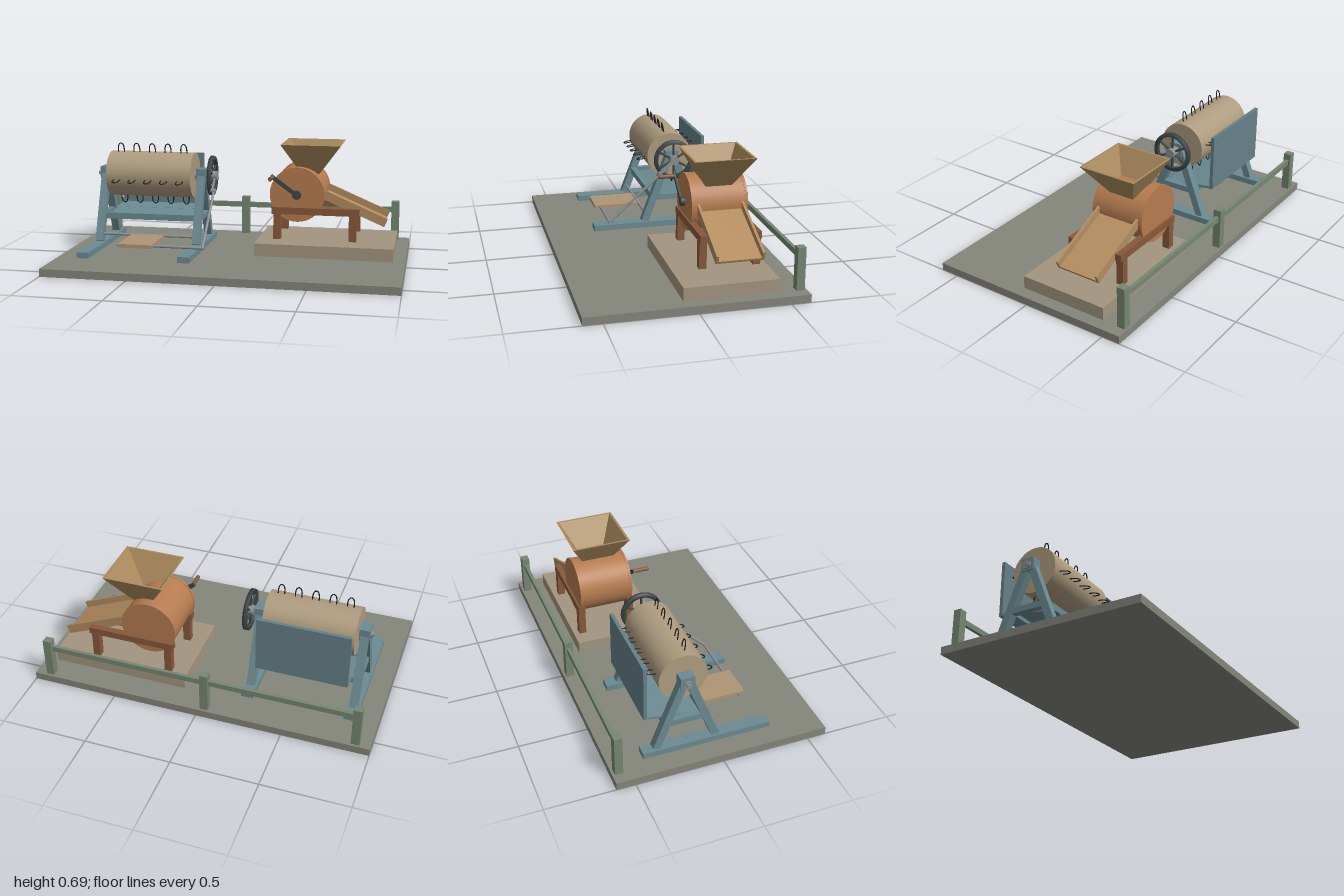
import * as THREE from 'three';

const mat = (color) => new THREE.MeshStandardMaterial({ color });
const M = {
  ground: mat(0x85867b), fence: mat(0x768872), blue: mat(0x6b8b92), panel: mat(0x668188),
  drum: mat(0xae9c7f), iron: mat(0x3f4748), steel: mat(0x8d9092), wire: mat(0x1c1f20),
  board: mat(0xae9674), plinth: mat(0xa39680), copper: mat(0xb67c50), dark: mat(0x87593b),
  hopper: mat(0xa98a5c), chute: mat(0xb48e60),
};
M.hopper.side = THREE.DoubleSide;

const V = (x, y, z) => new THREE.Vector3(x, y, z);

function add(parent, name, geometry, material, x = 0, y = 0, z = 0) {
  const mesh = new THREE.Mesh(geometry, material);
  mesh.name = name;
  mesh.position.set(x, y, z);
  parent.add(mesh);
  return mesh;
}

// Box given by its limits on each axis
function block(parent, name, material, x0, x1, y0, y1, z0, z1) {
  return add(parent, name, new THREE.BoxGeometry(x1 - x0, y1 - y0, z1 - z0), material,
    (x0 + x1) / 2, (y0 + y1) / 2, (z0 + z1) / 2);
}

// Square bar between two points
function bar(parent, name, material, a, b, w, h) {
  const mid = a.clone().add(b).multiplyScalar(0.5);
  const mesh = add(parent, name, new THREE.BoxGeometry(w, h, a.distanceTo(b)), material, mid.x, mid.y, mid.z);
  mesh.lookAt(b);
  return mesh;
}

// Round rod between two points
function rod(parent, name, material, a, b, r, sides = 12) {
  const mid = a.clone().add(b).multiplyScalar(0.5);
  const mesh = add(parent, name, new THREE.CylinderGeometry(r, r, a.distanceTo(b), sides), material, mid.x, mid.y, mid.z);
  mesh.quaternion.setFromUnitVectors(V(0, 1, 0), b.clone().sub(a).normalize());
  return mesh;
}

function group(parent, name) {
  const g = new THREE.Group();
  g.name = name;
  parent.add(g);
  return g;
}

function buildFence(root) {
  const g = group(root, 'fence');
  for (const x of [-0.915, -0.045, 0.91]) block(g, 'fencePost', M.fence, x - 0.024, x + 0.024, 0.045, 0.285, -0.594, -0.548);
  block(g, 'fenceRail', M.fence, -0.915, 0.91, 0.215, 0.247, -0.582, -0.562);
}

function buildThresher(root) {
  const g = group(root, 'thresher');
  const cy = 0.478, cz = -0.165;

  // Skids, A-frames and bearings on both sides
  for (const x of [-0.845, -0.243]) {
    block(g, 'skid', M.blue, x - 0.036, x + 0.036, 0.045, 0.08, -0.415, 0.322);
    for (const s of [-1, 1]) {
      bar(g, 'frameLeg', M.blue, V(x, 0.08, cz + s * 0.17), V(x, 0.49, cz + s * 0.012), 0.046, 0.044);
    }
    block(g, 'sideRail', M.blue, x - 0.018, x + 0.018, 0.213, 0.247, cz - 0.115, cz + 0.115);
    block(g, 'bearingBlock', M.blue, x - 0.03, x + 0.03, 0.445, 0.52, cz - 0.04, cz + 0.04);
    rod(g, 'bearing', M.steel, V(x - 0.04, cy, cz), V(x + 0.04, cy, cz), 0.024, 20);
  }
  for (const z of [-0.055, -0.275]) block(g, 'crossRail', M.blue, -0.845, -0.23, 0.213, 0.25, z - 0.017, z + 0.017);

  // Collecting deck and back panel
  bar(g, 'deck', M.blue, V(-0.545, 0.215, -0.07), V(-0.545, 0.258, -0.37), 0.53, 0.014);
  block(g, 'backPanel', M.panel, -0.81, -0.28, 0.25, 0.585, -0.386, -0.366);

  // Drum with four rows of wire teeth
  const drum = group(g, 'threshingDrum');
  drum.position.set(0, cy, cz);
  rod(drum, 'drumBody', M.drum, V(-0.81, 0, 0), V(-0.286, 0, 0), 0.137, 36);
  rod(drum, 'shaft', M.steel, V(-0.895, 0, 0), V(-0.15, 0, 0), 0.013, 16);
  const curve = new THREE.CatmullRomCurve3([
    V(-0.018, 0.125, 0), V(-0.018, 0.165, 0), V(-0.011, 0.186, 0), V(0, 0.192, 0),
    V(0.011, 0.186, 0), V(0.018, 0.165, 0), V(0.018, 0.125, 0)]);
  const toothGeometry = new THREE.TubeGeometry(curve, 18, 0.0035, 6);
  for (let row = 0; row < 4; row++) {
    for (let i = 0; i < 5; i++) {
      add(drum, 'wireTooth', toothGeometry, M.wire, -0.744 + i * 0.0985, 0, 0).rotation.x = 0.17 + row * Math.PI / 2;
    }
  }

  // Flywheel
  const wheel = group(g, 'flywheel');
  wheel.position.set(-0.178, cy, cz);
  const rim = new THREE.LatheGeometry([[0.098, -0.011], [0.12, -0.011], [0.12, 0.011], [0.098, 0.011], [0.098, -0.011]]
    .map(([r, y]) => new THREE.Vector2(r, y)), 40);
  add(wheel, 'wheelRim', rim, M.iron).rotation.z = Math.PI / 2;
  for (let i = 0; i < 6; i++) {
    const a = i * Math.PI / 3;
    rod(wheel, 'spoke', M.iron, V(0, 0, 0), V(0, Math.cos(a) * 0.102, Math.sin(a) * 0.102), 0.007, 8);
  }
  rod(wheel, 'wheelHub', M.steel, V(-0.022, 0, 0), V(0.03, 0, 0), 0.028, 20);

  // Crank pin, connecting rod and treadle
  bar(g, 'crankArm', M.steel, V(-0.16, cy, cz), V(-0.16, 0.4, -0.075), 0.01, 0.018);
  rod(g, 'crankPin', M.steel, V(-0.17, 0.4, -0.075), V(-0.138, 0.4, -0.075), 0.013);
  rod(g, 'connectingRod', M.steel, V(-0.15, 0.4, -0.075), V(-0.15, 0.118, 0.24), 0.008);
  rod(g, 'treadleBar', M.steel, V(-0.66, 0.118, 0.24), V(-0.14, 0.118, 0.24), 0.008);
  rod(g, 'pivotRod', M.steel, V(-0.845, 0.126, -0.005), V(-0.243, 0.126, -0.005), 0.008);
  block(g, 'treadleBoard', M.board, -0.645, -0.443, 0.108, 0.13, -0.015, 0.276);
}

// Square funnel wall from two levels of rectangles
function funnel(levels) {
  const pos = [];
  const ring = ([y, x0, x1, z0, z1]) => [[x0, y, z1], [x1, y, z1], [x1, y, z0], [x0, y, z0]];
  for (let l = 0; l + 1 < levels.length; l++) {
    const a = ring(levels[l]), b = ring(levels[l + 1]);
    for (let i = 0; i < 4; i++) {
      const j = (i + 1) % 4;
      pos.push(...a[i], ...a[j], ...b[j], ...a[i], ...b[j], ...b[i]);
    }
  }
  const geo = new THREE.BufferGeometry();
  geo.setAttribute('position', new THREE.Float32BufferAttribute(pos, 3));
  geo.computeVertexNormals();
  return geo;
}

function buildMill(root) {
  const g = group(root, 'mill');
  const cx = 0.35, cy = 0.39;
  block(g, 'plinth', M.plinth, 0.12, 0.93, 0.045, 0.12, -0.457, 0.068);

  // Stand
  for (const z of [-0.1, -0.403]) {
    for (const x of [0.233, 0.682]) block(g, 'standLeg', M.dark, x - 0.022, x + 0.022, 0.12, 0.28, z - 0.021, z + 0.021);
    block(g, 'standBeam', M.dark, 0.2, 0.72, 0.272, 0.313, z - 0.02, z + 0.02);
  }

  // Winnowing drum with end rims
  rod(g, 'millDrum', M.copper, V(cx, cy, -0.4), V(cx, cy, -0.1), 0.16, 40);
  for (const z of [-0.411, -0.104]) rod(g, 'drumRim', M.copper, V(cx, cy, z), V(cx, cy, z + 0.014), 0.163, 40);

  // Hopper: outer wall, lip, inner wall
  add(g, 'hopper', funnel([
    [0.505, 0.363, 0.472, -0.328, -0.178], [0.686, 0.25, 0.605, -0.424, -0.078],
    [0.686, 0.263, 0.592, -0.411, -0.091], [0.505, 0.372, 0.463, -0.319, -0.187]]), M.hopper);

  // Sloping outlet trough
  const chute = group(g, 'chute');
  chute.position.set(0.875, 0.233, -0.254);
  chute.rotation.z = -0.405;
  block(chute, 'chuteFloor', M.chute, -0.46, 0, -0.026, -0.012, -0.125, 0.125);
  for (const s of [-1, 1]) block(chute, 'chuteSide', M.chute, -0.46, 0, -0.026, 0.026, s * 0.126 - 0.007, s * 0.126 + 0.007);

  // Hand crank
  rod(g, 'crankHub', M.iron, V(cx, cy, -0.11), V(cx, cy, -0.066), 0.026, 20);
  bar(g, 'crankArm', M.iron, V(cx, cy, -0.073), V(0.195, 0.502, -0.073), 0.012, 0.024);
  rod(g, 'crankHandle', M.dark, V(0.205, 0.495, -0.075), V(0.205, 0.495, 0.02), 0.012, 14);
}

export function createModel() {
  const root = new THREE.Group();
  root.name = 'farmMachines';
  block(root, 'base', M.ground, -1, 1, 0, 0.045, -0.608, 0.608);
  buildFence(root);
  buildThresher(root);
  buildMill(root);
  return root;
}
